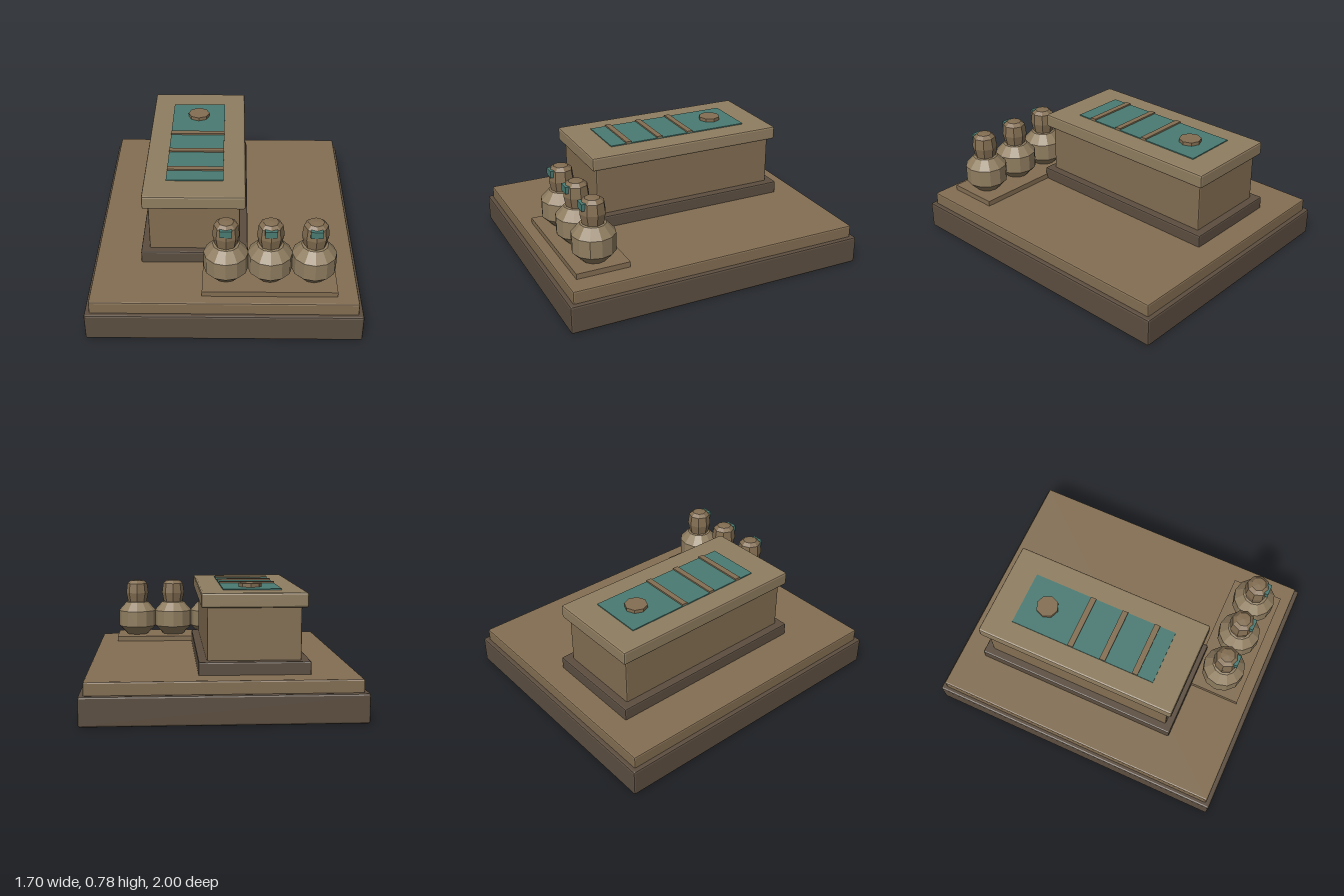
import * as THREE from 'three';
import { RoundedBoxGeometry } from 'three/addons/geometries/RoundedBoxGeometry.js';

const material = (color) => new THREE.MeshStandardMaterial({ color, flatShading: true });

export function createModel() {
  const dark = material(0x5c4e40);
  const brown = material(0x836e52);
  const light = material(0x8f7d60);
  const teal = material(0x4a7b73);
  const model = new THREE.Group();

  const add = (parent, name, geometry, mat, x, y, z) => {
    const mesh = new THREE.Mesh(geometry, mat);
    mesh.name = name;
    mesh.position.set(x, y, z);
    parent.add(mesh);
    return mesh;
  };

  // Box given by its extents; a bevel above zero softens the edges
  const block = (parent, name, mat, [x0, x1], [y0, y1], [z0, z1], bevel = 0) => {
    const size = [x1 - x0, y1 - y0, z1 - z0];
    const geometry = bevel
      ? new RoundedBoxGeometry(...size, 1, bevel)
      : new THREE.BoxGeometry(...size);
    return add(parent, name, geometry, mat, (x0 + x1) / 2, (y0 + y1) / 2, (z0 + z1) / 2);
  };

  // Stepped floor
  block(model, 'base', dark, [-0.85, 0.85], [0, 0.18], [-1, 1], 0.012);
  block(model, 'floorSlab', brown, [-0.82, 0.82], [0.17, 0.26], [-0.97, 0.97], 0.01);

  // Stone chest with overhanging lid
  const chest = new THREE.Group();
  chest.name = 'chest';
  model.add(chest);
  block(chest, 'plinth', dark, [-0.53, 0.147], [0.25, 0.34], [-0.81, 0.57], 0.01);
  block(chest, 'chestBody', brown, [-0.477, 0.095], [0.33, 0.67], [-0.757, 0.523], 0.01);
  block(chest, 'lid', light, [-0.512, 0.13], [0.66, 0.75], [-0.79, 0.557], 0.012);

  // Inlaid panel with crossbars and a round boss
  block(chest, 'lidPanel', teal, [-0.371, -0.011], [0.745, 0.757], [-0.615, 0.371]);
  for (const z of [-0.205, 0.02, 0.245]) {
    block(chest, 'crossbar', brown, [-0.371, -0.011], [0.75, 0.767], [z - 0.019, z + 0.019]);
  }
  add(chest, 'boss', new THREE.CylinderGeometry(0.073, 0.073, 0.03, 8), brown, -0.191, 0.765, -0.45);

  // Three lidded jars on a tray
  block(model, 'jarTray', brown, [-0.135, 0.692], [0.255, 0.295], [0.553, 0.9]);
  const profile = (points, sides) =>
    new THREE.LatheGeometry(points.map(([r, y]) => new THREE.Vector2(r, y)), sides);
  const bodyGeometry = profile(
    [[0, 0.29], [0.078, 0.295], [0.138, 0.358], [0.138, 0.472], [0.082, 0.535], [0, 0.55]], 12);
  const headGeometry = profile(
    [[0, 0.52], [0.068, 0.53], [0.083, 0.605], [0.074, 0.675], [0.048, 0.697], [0, 0.702]], 8);
  for (const x of [0.01, 0.28, 0.55]) {
    const jar = new THREE.Group();
    jar.name = 'jar';
    jar.position.set(x, 0, 0.73);
    model.add(jar);
    add(jar, 'jarBody', bodyGeometry, light, 0, 0, 0);
    add(jar, 'jarHead', headGeometry, brown, 0, 0, 0);
    block(jar, 'jarFacePlate', teal, [-0.037, 0.037], [0.635, 0.68], [0.05, 0.082]);
  }

  return model;
}
